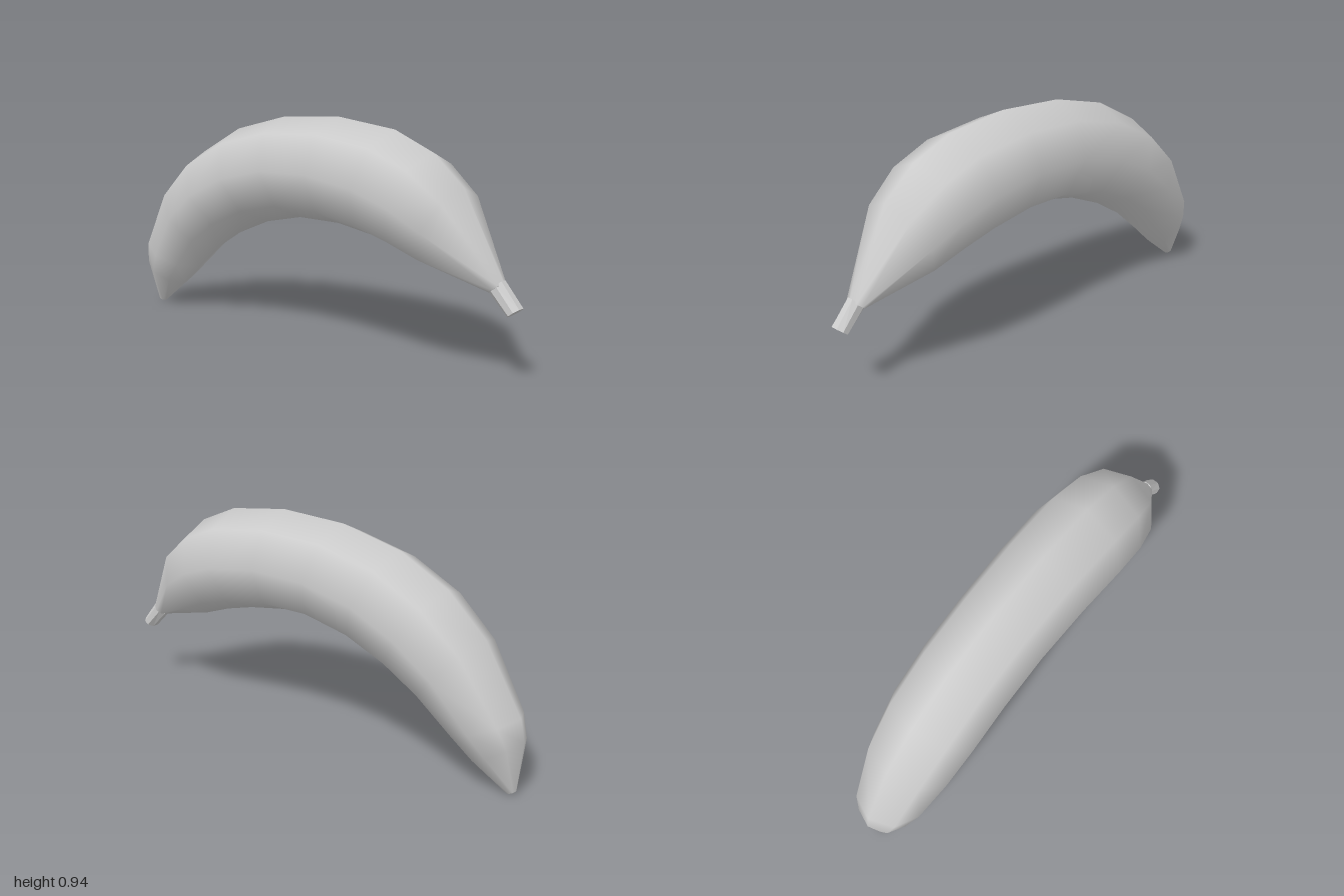
import * as THREE from 'three';

const SIDES = 8;

// Skins eight-sided rings [topX, topY, bottomX, bottomY, halfDepth] running from -x to +x.
function loft(rings, phase = 0) {
  const pos = [], index = [];
  const addRing = ([tx, ty, bx, by, depth]) => {
    const first = pos.length / 3;
    for (let j = 0; j < SIDES; j++) {
      const a = phase + (j / SIDES) * Math.PI * 2, c = Math.cos(a) / 2;
      pos.push((tx + bx) / 2 + (tx - bx) * c, (ty + by) / 2 + (ty - by) * c, depth * Math.sin(a));
    }
    return first;
  };
  const starts = rings.map(addRing);
  for (let i = 0; i < starts.length - 1; i++) {
    for (let j = 0; j < SIDES; j++) {
      const k = (j + 1) % SIDES, p = starts[i], q = starts[i + 1];
      index.push(p + j, p + k, q + j, p + k, q + k, q + j);
    }
  }
  // Flat end caps with their own corners, so the rim stays sharp
  const a = addRing(rings[0]), b = addRing(rings[rings.length - 1]);
  for (let j = 1; j < SIDES - 1; j++) {
    index.push(a, a + j + 1, a + j, b, b + j, b + j + 1);
  }
  const geometry = new THREE.BufferGeometry();
  geometry.setAttribute('position', new THREE.Float32BufferAttribute(pos, 3));
  geometry.setIndex(index);
  geometry.computeVertexNormals();
  return geometry;
}

export function createModel() {
  const group = new THREE.Group();
  group.name = 'banana';

  // Curved fruit body, from the blossom tip to the stem
  const body = new THREE.Mesh(loft([
    [-0.98, 0.015, -0.945, 0.0, 0.02],
    [-1.0, 0.22, -0.80, 0.11, 0.11],
    [-0.98, 0.31, -0.70, 0.20, 0.145],
    [-0.82, 0.58, -0.57, 0.31, 0.185],
    [-0.65, 0.74, -0.43, 0.395, 0.20],
    [-0.43, 0.855, -0.26, 0.465, 0.202],
    [-0.16, 0.92, -0.07, 0.505, 0.203],
    [0.14, 0.935, 0.14, 0.505, 0.209],
    [0.42, 0.90, 0.33, 0.475, 0.215],
    [0.60, 0.825, 0.47, 0.44, 0.207],
    [0.74, 0.705, 0.60, 0.395, 0.175],
    [0.92, 0.375, 0.865, 0.335, 0.04],
  ]), new THREE.MeshStandardMaterial({ color: 0xcccccc }));
  body.name = 'fruitBody';

  // Short faceted stem
  const stem = new THREE.Mesh(loft([
    [0.918, 0.388, 0.865, 0.333, 0.034],
    [0.995, 0.295, 0.945, 0.257, 0.038],
  ], Math.PI / SIDES), new THREE.MeshStandardMaterial({ color: 0xcccccc, flatShading: true }));
  stem.name = 'stem';

  group.add(body, stem);
  return group;
}
